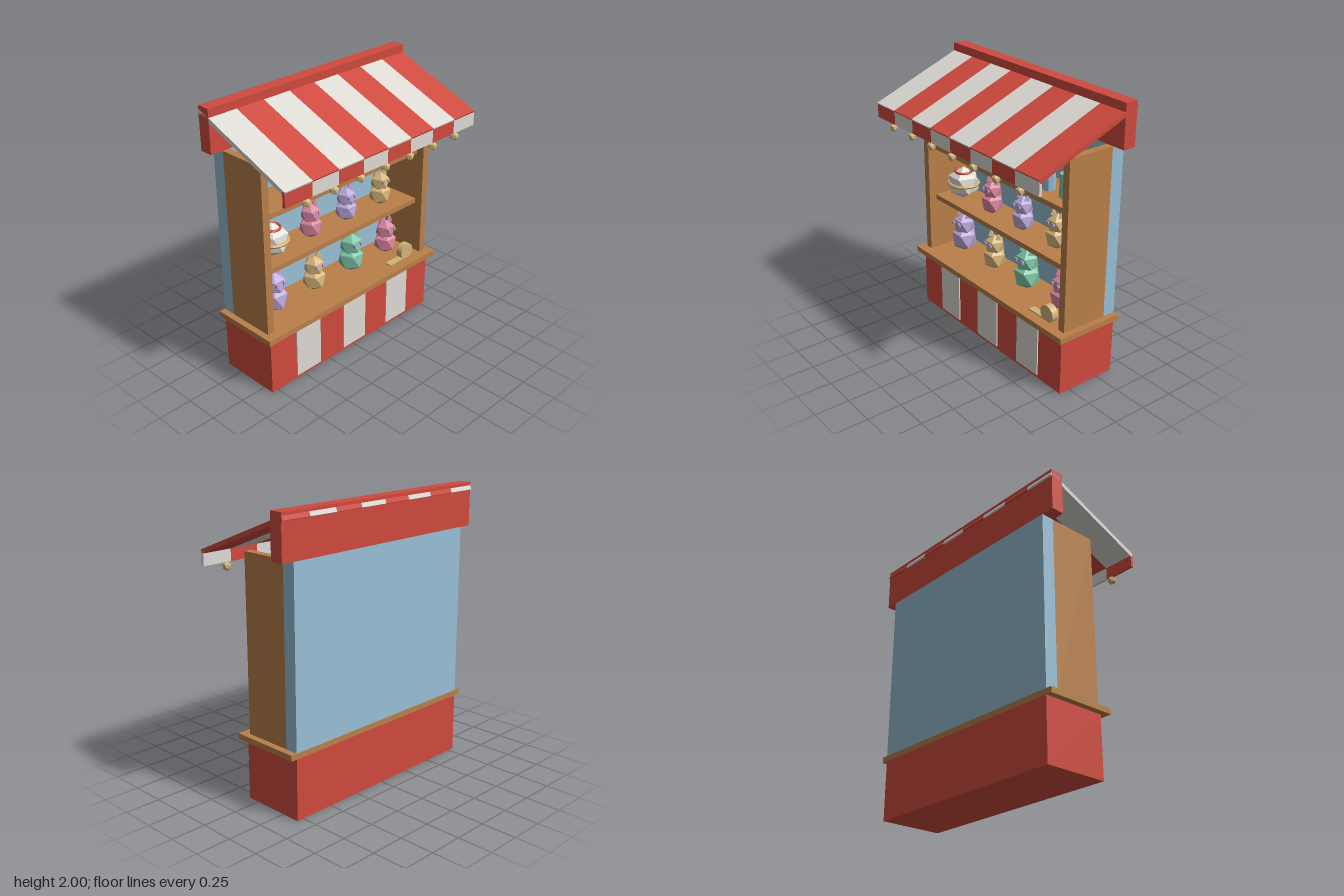
import * as THREE from 'three';

const mat = (name, color, flatShading = false) => {
  const m = new THREE.MeshStandardMaterial({ color, flatShading });
  m.name = name;
  return m;
};

export function createModel() {
  const red = mat('red', 0xcf4a3e);
  const white = mat('white', 0xdedad4);
  const wood = mat('wood', 0xb98049);
  const blue = mat('blue', 0x98bfd5);
  const pink = mat('pink', 0xd6849c, true);
  const lavender = mat('lavender', 0xb9a5d6, true);
  const tan = mat('tan', 0xd4b37a, true);
  const green = mat('green', 0x7fc4a6, true);
  [red, white, wood, blue].forEach((m) => { m.flatShading = true; });

  const root = new THREE.Group();
  root.name = 'toyStall';

  const add = (parent, name, geo, material, x = 0, y = 0, z = 0) => {
    const mesh = new THREE.Mesh(geo, material);
    mesh.name = name;
    mesh.position.set(x, y, z);
    parent.add(mesh);
    return mesh;
  };
  // box given by its limits on each axis
  const box = (name, material, x0, x1, y0, y1, z0, z1, parent = root) =>
    add(parent, name, new THREE.BoxGeometry(x1 - x0, y1 - y0, z1 - z0), material,
      (x0 + x1) / 2, (y0 + y1) / 2, (z0 + z1) / 2);
  // icosahedron standing on a corner
  const gem = (r) => new THREE.IcosahedronGeometry(r, 0)
    .rotateZ(-Math.atan(2 / (1 + Math.sqrt(5)))).rotateY(Math.PI / 2);
  // ring lying flat
  const ring = (r, tube) => new THREE.TorusGeometry(r, tube, 6, 20).rotateX(Math.PI / 2);

  // base, counter and walls
  box('base', red, -0.8, 0.8, 0, 0.43, -0.385, 0.085);
  for (const x of [-0.457, 0, 0.455])
    box('basePanel', white, x - 0.113, x + 0.113, 0.025, 0.4, 0.085, 0.094);
  box('counter', wood, -0.845, 0.845, 0.43, 0.47, -0.387, 0.132);
  box('backWall', blue, -0.8, 0.8, 0.47, 1.695, -0.385, -0.29);
  for (const s of [-1, 1])
    box('sidePanel', wood, Math.min(s * 0.745, s * 0.8), Math.max(s * 0.745, s * 0.8), 0.47, 1.695, -0.29, 0.065);
  for (const y of [0.872, 1.275])
    box('shelf', wood, -0.745, 0.745, y, y + 0.037, -0.29, 0.005);
  box('topBoard', red, -0.893, 0.893, 1.695, 2, -0.385, -0.29);

  // striped awning with a valance in the opposite order
  const stripe = 1.786 / 8;
  for (let i = 0; i < 8; i++) {
    const x = -0.893 + stripe * (i + 0.5);
    const roof = add(root, 'awningStripe', new THREE.BoxGeometry(stripe, 0.03, 0.83),
      i % 2 ? red : white, x, 1.811, -0.005);
    roof.rotation.x = 0.379;
    box('valance', i % 2 ? white : red, x - stripe / 2, x + stripe / 2, 1.565, 1.67, 0.362, 0.382);
  }
  // hanging lights
  for (let i = 0; i < 7; i++)
    add(root, 'lightBulb', gem(0.032), tan, -0.709 + i * 0.235, 1.535, 0.368);

  // plush toys: x, shelf height, size, colour
  const toyZ = -0.125;
  const toys = [
    [-0.57, 0.47, 1.19, lavender], [-0.19, 0.47, 1.06, tan],
    [0.185, 0.47, 1.19, green], [0.56, 0.47, 1.06, pink],
    [-0.215, 0.909, 1, pink], [0.135, 0.909, 1, lavender], [0.49, 0.909, 1, tan],
  ];
  for (const [x, y, size, material] of toys) {
    const toy = new THREE.Group();
    toy.name = 'plushToy';
    add(toy, 'body', gem(0.0875), material, 0, 0.0875, 0);
    add(toy, 'head', gem(0.075), material, 0, 0.186, 0);
    for (const s of [-1, 1]) {
      add(toy, 'ear', new THREE.ConeGeometry(0.026, 0.05, 4), material, s * 0.041, 0.267, 0);
      add(toy, 'eye', new THREE.BoxGeometry(0.018, 0.02, 0.02), lavender, s * 0.027, 0.202, 0.058);
    }
    toy.position.set(x, y, toyZ);
    toy.scale.setScalar(size);
    root.add(toy);
  }

  // white ball toy with rings
  const ball = new THREE.Group();
  ball.name = 'ringedBall';
  add(ball, 'ball', gem(0.126), white, 0, 0.126, 0);
  add(ball, 'middleRing', ring(0.11, 0.013), tan, 0, 0.126, 0);
  add(ball, 'topRing', ring(0.06, 0.009), red, 0, 0.215, 0);
  ball.position.set(-0.57, 0.909, toyZ);
  root.add(ball);

  // duck on the top shelf
  const duck = new THREE.Group();
  duck.name = 'duck';
  add(duck, 'body', gem(0.093), tan, 0, 0.086, 0);
  add(duck, 'head', gem(0.053), tan, 0, 0.18, 0);
  add(duck, 'beak', new THREE.BoxGeometry(0.06, 0.02, 0.04), wood, 0, 0.165, 0.055);
  duck.position.set(-0.357, 1.312, toyZ);
  root.add(duck);

  // bottles with a tossed ring
  for (let i = 0; i < 4; i++) {
    const x = 0.055 + i * 0.17;
    add(root, 'bottle', new THREE.CylinderGeometry(0.045, 0.045, 0.168, 8), i % 2 ? green : blue, x, 1.396, toyZ);
    add(root, 'bottleNeck', new THREE.CylinderGeometry(0.016, 0.016, 0.08, 8), i % 2 ? green : blue, x, 1.518, toyZ);
  }
  add(root, 'tossedRing', ring(0.064, 0.012), red, 0.395, 1.51, toyZ);

  // roll with its loose end on the counter
  add(root, 'roll', new THREE.CylinderGeometry(0.063, 0.063, 0.05, 20).rotateX(Math.PI / 2), tan, 0.61, 0.523, 0.03);
  box('rollEnd', tan, 0.425, 0.61, 0.47, 0.48, 0.005, 0.055);

  return root;
}
